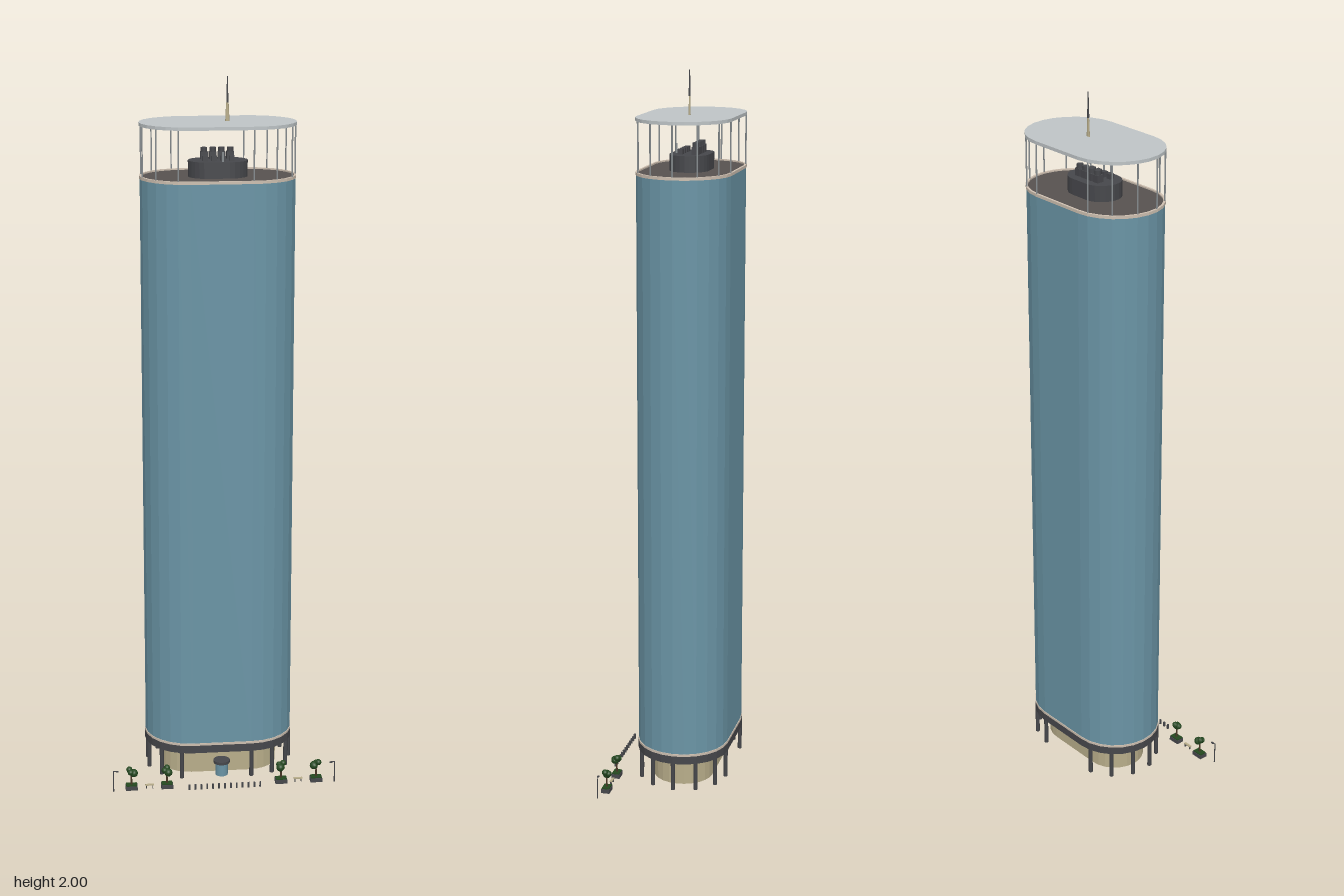
import * as THREE from 'three';

const STRAIGHT = 0.085; // half length of the straight facade
const CZ = -0.037;      // tower centre in z

const mat = (name, color) => {
  const m = new THREE.MeshStandardMaterial({ color });
  m.name = name;
  return m;
};

// Corner points of the rounded plan: two 12-sided half circles
function planPoints(r, straight = STRAIGHT) {
  const pts = [];
  for (let side = 0; side < 2; side++) {
    for (let i = 0; i <= 12; i++) {
      const a = -Math.PI / 2 + side * Math.PI + (i * Math.PI) / 12;
      pts.push(new THREE.Vector2((side ? -straight : straight) + r * Math.cos(a), r * Math.sin(a)));
    }
  }
  return pts;
}

// Slab (or ring, with an inner radius) standing between two heights
function slab(r, y0, y1, inner = 0, straight = STRAIGHT) {
  const shape = new THREE.Shape(planPoints(r, straight));
  if (inner) shape.holes.push(new THREE.Path(planPoints(inner, straight)));
  const g = new THREE.ExtrudeGeometry(shape, { depth: y1 - y0, bevelEnabled: false });
  return g.rotateX(-Math.PI / 2).translate(0, y0, CZ);
}

export function createModel() {
  const root = new THREE.Group();
  root.name = 'tower';
  const glass = mat('blue glass', 0x6a94a5);
  const roofGrey = mat('pale roof', 0xbec4c6);
  const dark = mat('dark metal', 0x46474b);
  const deckBrown = mat('roof deck', 0x575250);
  const beige = mat('beige stone', 0xb8ad8a);
  const trim = mat('pale trim', 0xcdbfb0);
  const steel = mat('steel', 0x8b9194);
  const green = mat('foliage green', 0x24481f);
  const brown = mat('trunk brown', 0x4a3826);

  const add = (parent, name, geo, material, x = 0, y = 0, z = 0) => {
    const m = new THREE.Mesh(geo, material);
    m.name = name;
    m.position.set(x, y, z);
    parent.add(m);
    return m;
  };
  const group = (name, x = 0, z = 0) => {
    const g = new THREE.Group();
    g.name = name;
    g.position.set(x, 0, z);
    root.add(g);
    return g;
  };
  const box = (w, h, d) => new THREE.BoxGeometry(w, h, d).translate(0, h / 2, 0);
  const cyl = (rt, rb, h, n = 8) => new THREE.CylinderGeometry(rt, rb, h, n).translate(0, h / 2, 0);

  // Ground floor and main shaft
  add(root, 'groundFloorWall', slab(0.085, 0, 0.083, 0.083), beige);
  add(root, 'darkBand', slab(0.1303, 0.08, 0.103, 0.1), dark);
  add(root, 'lowerTrim', slab(0.1303, 0.103, 0.11, 0.12), trim);
  add(root, 'glassShaft', slab(0.1285, 0.083, 1.728), glass);
  add(root, 'upperTrim', slab(0.1303, 1.728, 1.736, 0.124), trim);
  add(root, 'roofDeck', slab(0.1245, 1.727, 1.732), deckBrown);

  // Columns at the base and posts under the canopy, on every second corner
  const columns = group('columns');
  const posts = group('canopyPosts');
  planPoints(0.1245).forEach((p, i) => {
    if (i % 2) return;
    add(columns, 'column', cyl(0.006, 0.006, 0.082), dark, p.x, 0, CZ - p.y);
  });
  planPoints(0.1275).forEach((p, i) => {
    if (i % 2) return;
    add(posts, 'canopyPost', cyl(0.0022, 0.0022, 0.14, 6), steel, p.x, 1.732, CZ - p.y);
  });
  add(root, 'canopyRoof', slab(0.1303, 1.871, 1.88), roofGrey);

  // Plant room and machines
  add(root, 'plantRoom', slab(0.054, 1.731, 1.776, 0, 0.028), dark);
  const machines = group('roofMachines', 0, CZ);
  for (let i = 0; i < 4; i++) {
    const x = -0.036 + i * 0.024;
    add(machines, 'fanUnit', box(0.02, 0.02, 0.02), dark, x, 1.776, -0.02);
    add(machines, 'fanHood', cyl(0.009, 0.009, 0.012, 12), dark, x, 1.796, -0.02);
    add(machines, 'ventBox', box(0.014, 0.014, 0.014), dark, x, 1.776, 0.022);
  }
  add(machines, 'ventPipe', cyl(0.003, 0.003, 0.026), steel, 0.01, 1.776, 0.04);

  // Mast on the canopy
  const mast = group('mast', 0.026, CZ);
  add(mast, 'mastBase', cyl(0.0035, 0.006, 0.05), beige, 0, 1.88).scale.z = 0.5;
  add(mast, 'mastTip', cyl(0.0012, 0.003, 0.07), dark, 0, 1.93);

  // Entrance drum joined to the wall
  const entrance = group('entrance', 0, 0.07);
  add(entrance, 'revolvingDoor', cyl(0.018, 0.018, 0.038, 16), glass);
  add(entrance, 'entranceCap', cyl(0.024, 0.024, 0.008, 16), dark, 0, 0.038);
  add(entrance, 'entrancePassage', box(0.03, 0.04, 0.03), dark, 0, 0, -0.025);

  // Trees in planters
  [-0.267, -0.165, 0.165, 0.267].forEach((x, i) => {
    const tree = group('tree', x, 0.141);
    add(tree, 'planter', box(0.034, 0.012, 0.024), dark);
    add(tree, 'planterHedge', box(0.031, 0.003, 0.021), green, 0, 0.012);
    add(tree, 'trunk', cyl(0.002, 0.003, 0.035, 6), brown, 0, 0.012);
    for (let k = 0; k < 4; k++) {
      const a = k * 1.9 + i;
      const leaf = new THREE.IcosahedronGeometry(k ? 0.009 : 0.012, 1);
      add(tree, 'foliage', leaf, green, Math.cos(a) * 0.007, 0.049 + (k % 3) * 0.005, Math.sin(a) * 0.006);
    }
  });

  // Benches and street lamps on both sides
  for (const s of [-1, 1]) {
    const bench = group('bench', s * 0.215, 0.141);
    add(bench, 'benchSeat', box(0.025, 0.003, 0.007), beige, 0, 0.009);
    for (const e of [-1, 1]) add(bench, 'benchLeg', box(0.002, 0.009, 0.006), dark, e * 0.009);
    const lamp = group('streetLamp', s * 0.319, 0.153);
    add(lamp, 'lampPost', cyl(0.0014, 0.002, 0.064, 6), dark);
    add(lamp, 'lampArm', box(0.012, 0.002, 0.002), dark, -s * 0.006, 0.062);
    add(lamp, 'lampHead', box(0.008, 0.003, 0.005), dark, -s * 0.011, 0.06);
  }

  // Row of bollards
  for (let i = 0; i < 13; i++) {
    add(root, 'bollard', box(0.005, 0.015, 0.005), dark, (i - 6) * 0.017, 0, 0.163);
  }
  return root;
}
